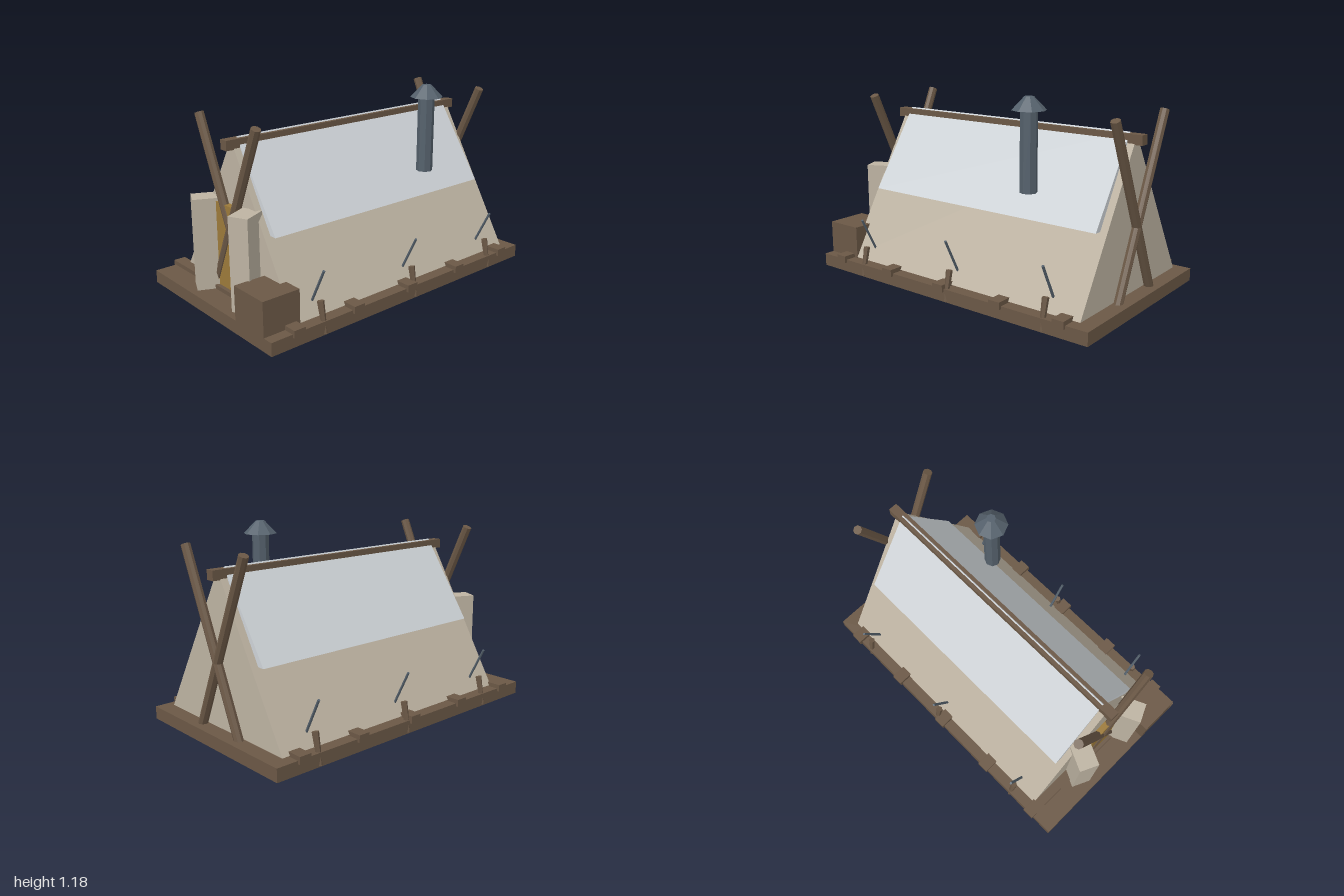
import * as THREE from 'three';

const mat = (name, color) => {
  const m = new THREE.MeshStandardMaterial({ color, flatShading: true });
  m.name = name;
  return m;
};

export function createModel() {
  const wood = mat('wood', 0x6b5846);
  const canvas = mat('canvas', 0xbdb3a2);
  const snow = mat('snow', 0xcfd4d8);
  const metal = mat('metal', 0x55616c);
  const door = mat('door', 0x9c7a3a);

  const model = new THREE.Group();
  model.name = 'tent';

  const add = (name, geometry, material) => {
    const mesh = new THREE.Mesh(geometry, material);
    mesh.name = name;
    model.add(mesh);
    return mesh;
  };

  // Box given by its extents along each axis
  const box = (name, material, [x0, x1], [y0, y1], [z0, z1]) => {
    const mesh = add(name, new THREE.BoxGeometry(x1 - x0, y1 - y0, z1 - z0), material);
    mesh.position.set((x0 + x1) / 2, (y0 + y1) / 2, (z0 + z1) / 2);
    return mesh;
  };

  // Straight rod between two points, optionally tapered
  const rod = (name, material, a, b, rBottom, rTop = rBottom, sides = 8) => {
    const start = new THREE.Vector3(...a), end = new THREE.Vector3(...b);
    const dir = end.clone().sub(start);
    const mesh = add(name, new THREE.CylinderGeometry(rTop, rBottom, dir.length(), sides), material);
    mesh.position.copy(start).add(end).multiplyScalar(0.5);
    mesh.quaternion.setFromUnitVectors(new THREE.Vector3(0, 1, 0), dir.normalize());
    return mesh;
  };

  // Triangular prism running along x
  const prism = (name, material, x0, x1, halfWidth, yBottom, yTop) => {
    const shape = new THREE.Shape([
      new THREE.Vector2(-halfWidth, yBottom),
      new THREE.Vector2(halfWidth, yBottom),
      new THREE.Vector2(0, yTop),
    ]);
    const geo = new THREE.ExtrudeGeometry(shape, { depth: x1 - x0, bevelEnabled: false });
    geo.rotateY(Math.PI / 2).translate(x0, 0, 0);
    return add(name, geo, material);
  };

  // Deck with cross joists poking out at both long sides
  box('deck', wood, [-1, 1], [0, 0.078], [-0.597, 0.597]);
  for (const x of [-0.828, -0.414, 0, 0.414, 0.828])
    box('joist', wood, [x - 0.037, x + 0.037], [0.06, 0.104], [-0.613, 0.613]);

  // Canvas tent, snow cover and ridge beam
  prism('tentBody', canvas, -0.805, 0.914, 0.532, 0.084, 0.983);
  prism('snowCover', snow, -0.765, 0.87, 0.33, 0.5, 0.995);
  box('ridgeBeam', wood, [-0.853, 0.96], [0.93, 0.987], [-0.028, 0.028]);

  // Crossed poles at both ends
  for (const x of [-0.828, 0.933])
    for (const s of [-1, 1])
      rod('crossPole', wood, [x, 0.05, s * 0.188], [x, 1.092, -s * 0.276], 0.028);

  // Door and folded-back flaps at the entrance
  box('door', door, [-0.842, -0.8], [0.08, 0.61], [-0.17, 0.17]);
  for (const s of [-1, 1]) {
    const flap = add('doorFlap', new THREE.BoxGeometry(0.153, 0.55, 0.12), canvas);
    flap.position.set(-0.864, 0.353, s * 0.2);
    flap.rotation.y = s * 0.436;
  }

  // Crate beside the entrance
  box('crate', wood, [-1, -0.765], [0.078, 0.28], [0.275, 0.532]);

  // Stakes and guy rods on both long sides
  for (const x of [-0.645, 0.045, 0.714])
    for (const s of [-1, 1]) {
      rod('stake', wood, [x, 0.005, s * 0.592], [x, 0.183, s * 0.555], 0.013, 0.02, 6);
      rod('guyRod', metal, [x, 0.15, s * 0.478], [x, 0.362, s * 0.585], 0.008, 0.008, 6);
    }

  // Stove pipe with a conical rain cap
  rod('stovePipe', metal, [0.41, 0.645, 0.295], [0.41, 1.108, 0.295], 0.05);
  rod('pipeCap', metal, [0.41, 1.105, 0.295], [0.41, 1.18, 0.295], 0.099, 0.027);

  return model;
}
